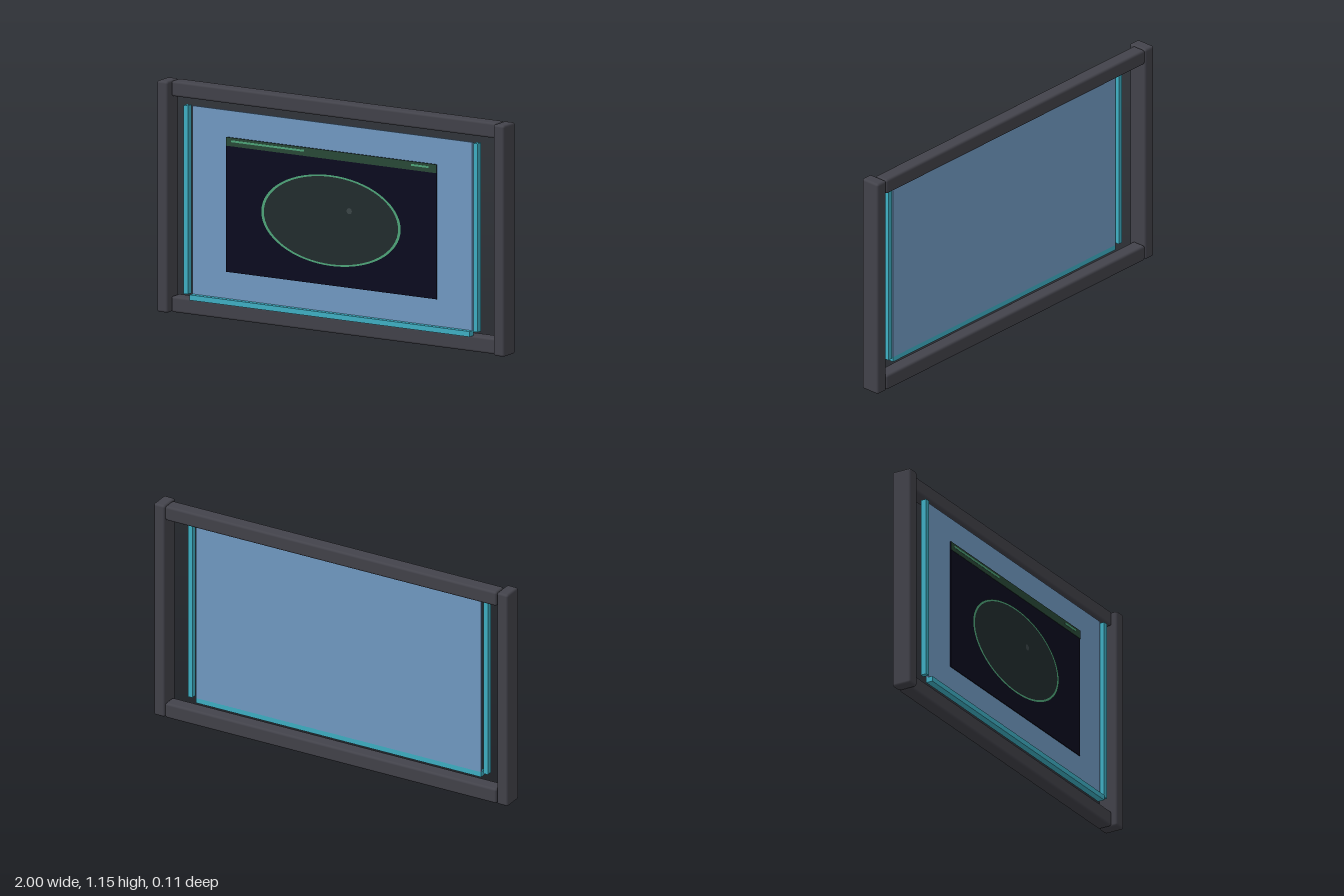
import * as THREE from 'three';
import { RoundedBoxGeometry } from 'three/addons/geometries/RoundedBoxGeometry.js';

const material = (name, color) => {
  const m = new THREE.MeshStandardMaterial({ color });
  m.name = name;
  return m;
};

export function createModel() {
  const model = new THREE.Group();
  const frame = material('charcoal frame', 0x43434b);
  const teal = material('teal trim', 0x40b3c8);
  const glass = material('blue glass', 0x739dc7);
  const dark = material('dark screen', 0x0b0b20);
  const header = material('dark green header', 0x2a4a38);
  const green = material('bright green', 0x50a87c);
  const lens = material('grey green disc', 0x222d2e);
  const grey = material('grey dot', 0x3c4648);

  const add = (name, geometry, mat, x, y, z) => {
    const mesh = new THREE.Mesh(geometry, mat);
    mesh.name = name;
    mesh.position.set(x, y, z);
    model.add(mesh);
    return mesh;
  };
  // Boxes are given by their lower and upper corners
  const box = (name, mat, [x0, y0, z0], [x1, y1, z1], bevel = 0) => {
    const size = [x1 - x0, y1 - y0, z1 - z0];
    const geometry = bevel ? new RoundedBoxGeometry(...size, 2, bevel) : new THREE.BoxGeometry(...size);
    return add(name, geometry, mat, (x0 + x1) / 2, (y0 + y1) / 2, (z0 + z1) / 2);
  };

  // Outer frame: two deep posts and two square rails
  box('rightPost', frame, [-1, 0, -0.055], [-0.936, 1.155, 0.051], 0.012);
  box('leftPost', frame, [0.936, 0, -0.055], [1, 1.155, 0.051], 0.012);
  box('bottomRail', frame, [-0.936, 0, -0.055], [0.936, 0.08, 0.021], 0.012);
  box('topRail', frame, [-0.936, 1.078, -0.055], [0.936, 1.155, 0.021], 0.012);

  // Glass pane with teal strips beside and below it
  box('glassPane', glass, [-0.805, 0.107, 0.022], [0.805, 1.048, 0.032]);
  box('bottomStrip', teal, [-0.805, 0.081, 0.022], [0.805, 0.108, 0.057]);
  box('rightStrip', teal, [-0.846, 0.107, 0.016], [-0.821, 1.048, 0.047]);
  box('leftStrip', teal, [0.821, 0.107, 0.016], [0.846, 1.048, 0.047]);

  // Screen with a header bar and two dashes
  box('screen', dark, [-0.605, 0.243, 0.037], [0.605, 0.916, 0.041]);
  box('headerBar', header, [-0.605, 0.873, 0.041], [0.605, 0.916, 0.043]);
  box('longDash', green, [-0.575, 0.894, 0.043], [-0.155, 0.904, 0.0445]);
  box('shortDash', green, [0.46, 0.894, 0.043], [0.56, 0.904, 0.0445]);

  // Oval display: disc, thin ring and a small dot
  const ovalY = 0.568;
  add('ovalDisc', new THREE.CircleGeometry(0.397, 64), lens, 0, ovalY, 0.0425).scale.y = 0.565;
  add('ovalRing', new THREE.RingGeometry(0.386, 0.401, 64), green, 0, ovalY, 0.0445).scale.y = 0.565;
  add('dot', new THREE.CircleGeometry(0.015, 20), grey, 0.105, 0.627, 0.0445);

  return model;
}
